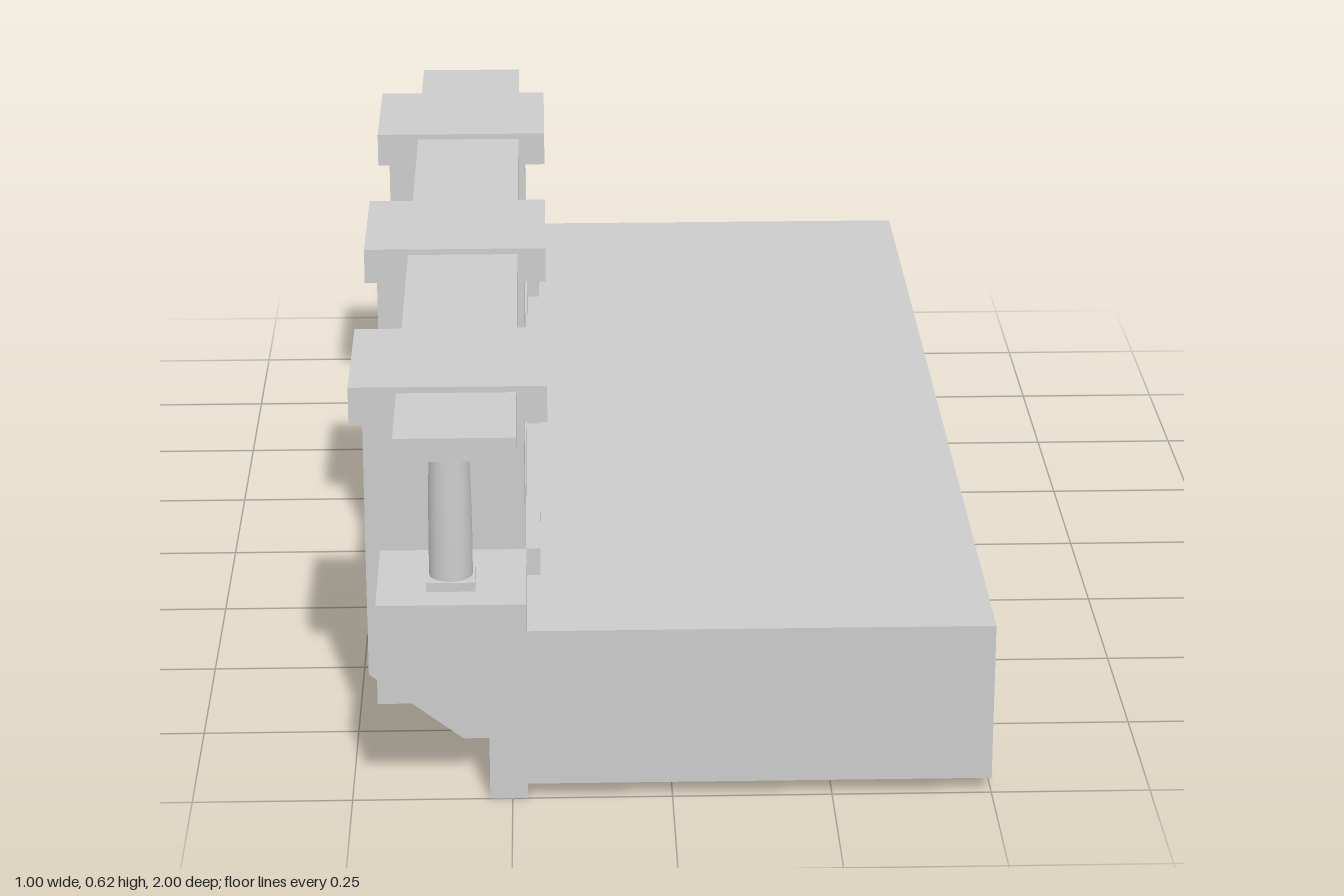
import * as THREE from 'three';

const material = new THREE.MeshStandardMaterial({ color: 0xcccccc });

function addMesh(parent, name, geometry, x = 0, y = 0, z = 0) {
  const mesh = new THREE.Mesh(geometry, material);
  mesh.name = name;
  mesh.position.set(x, y, z);
  parent.add(mesh);
  return mesh;
}

// Box given by its x and y limits and its length along z
function addBox(parent, name, x0, x1, y0, y1, length, z = 0) {
  return addMesh(parent, name, new THREE.BoxGeometry(x1 - x0, y1 - y0, length),
    (x0 + x1) / 2, (y0 + y1) / 2, z);
}

// Cross-section in x and y, extruded symmetrically along z
function prism(points, length) {
  const shape = new THREE.Shape(points.map(([x, y]) => new THREE.Vector2(x, y)));
  return new THREE.ExtrudeGeometry(shape, { depth: length, bevelEnabled: false })
    .translate(0, 0, -length / 2);
}

function createPier(z) {
  const pier = new THREE.Group();
  pier.name = 'pier';
  pier.position.z = z;
  const width = 0.222;

  // Shaft with a sloped bracket at the foot
  addMesh(pier, 'pierCore', prism([
    [-0.33, 0], [-0.227, 0], [-0.227, 0.555], [-0.46, 0.555],
    [-0.46, 0.115], [-0.48, 0.115],
  ], width));

  // Outer face framing a recessed panel
  const h = width / 2;
  const face = new THREE.Shape([
    new THREE.Vector2(-h, 0.115), new THREE.Vector2(h, 0.115),
    new THREE.Vector2(h, 0.555), new THREE.Vector2(-h, 0.555),
  ]);
  face.holes.push(new THREE.Path([
    new THREE.Vector2(-0.075, 0.33), new THREE.Vector2(-0.075, 0.52),
    new THREE.Vector2(0.075, 0.52), new THREE.Vector2(0.075, 0.33),
  ]));
  const frame = new THREE.ExtrudeGeometry(face, { depth: 0.02, bevelEnabled: false });
  addMesh(pier, 'panelFrame', frame.rotateY(-Math.PI / 2), -0.46);

  addBox(pier, 'plinth', -0.24, -0.203, 0.28, 0.331, width);
  addBox(pier, 'pierCap', -0.5, -0.19, 0.555, 0.615, 0.27);
  return pier;
}

function createBaluster(z) {
  const baluster = new THREE.Group();
  baluster.name = 'baluster';
  baluster.position.set(-0.342, 0, z);
  addBox(baluster, 'balusterBase', -0.038, 0.038, 0.33, 0.345, 0.076);
  const profile = [[0.034, 0.345], [0.034, 0.41], [0.033, 0.48], [0.031, 0.553]];
  addMesh(baluster, 'balusterShaft',
    new THREE.LatheGeometry(profile.map(([r, y]) => new THREE.Vector2(r, y)), 32));
  addBox(baluster, 'balusterTop', -0.038, 0.038, 0.553, 0.568, 0.076);
  return baluster;
}

export function createModel() {
  const model = new THREE.Group();
  model.name = 'balustradeDeck';

  // Deck slab with raised curb and drip lip
  addMesh(model, 'deck', prism([
    [-0.285, 0], [-0.226, 0], [-0.226, 0.025], [0.5, 0.025], [0.5, 0.285],
    [-0.225, 0.285], [-0.225, 0.33], [-0.457, 0.33], [-0.457, 0.165], [-0.285, 0.165],
  ], 2));

  addBox(model, 'handrail', -0.425, -0.238, 0.567, 0.605, 2);

  for (const z of [-0.67, 0, 0.67]) model.add(createPier(z));
  for (const z of [-0.905, -0.42, -0.237, 0.245, 0.428, 0.91]) model.add(createBaluster(z));
  return model;
}
